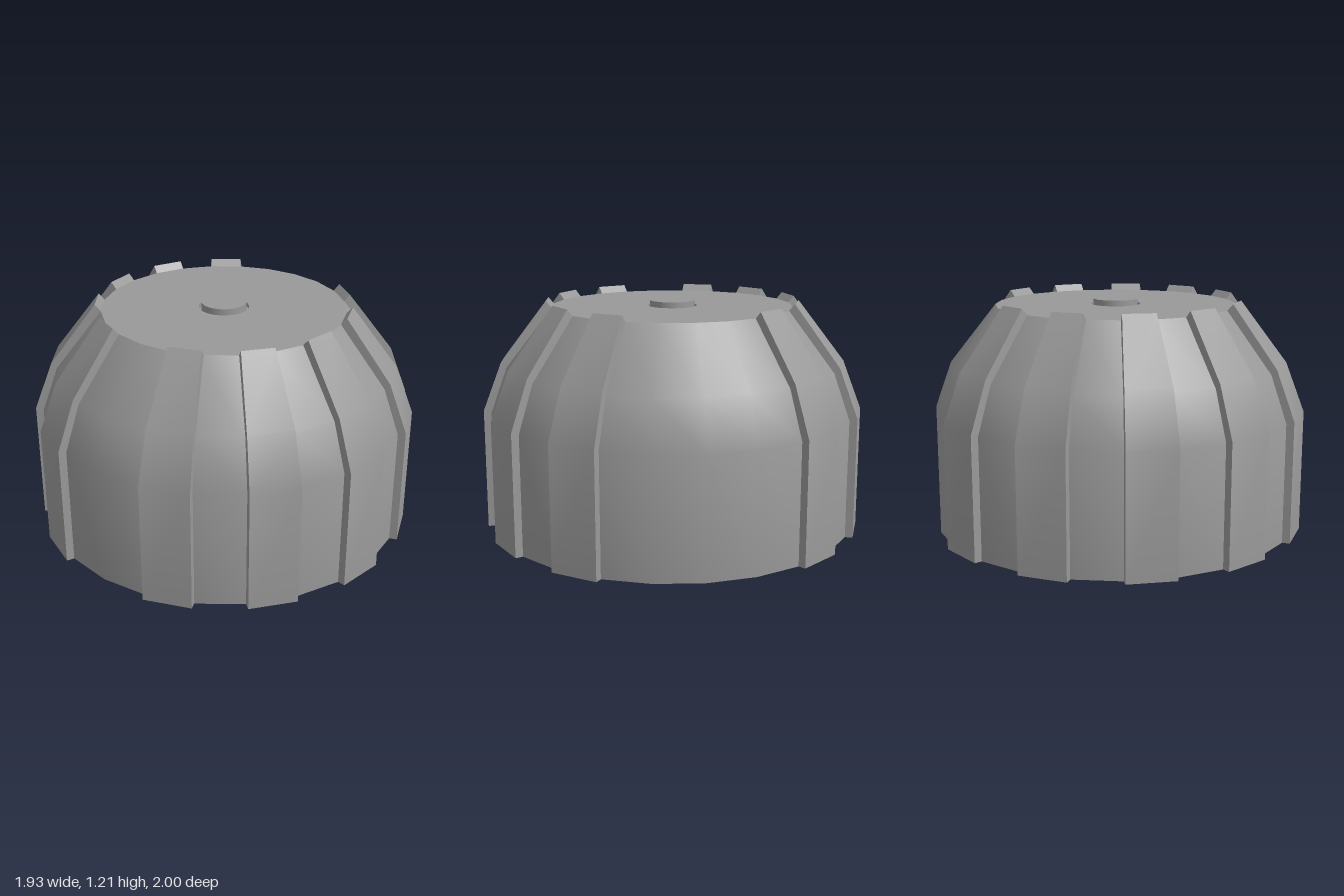
import * as THREE from 'three';
import { toCreasedNormals } from 'three/addons/utils/BufferGeometryUtils.js';

const SEGMENTS = 24;
const STEP = (Math.PI * 2) / SEGMENTS;
const CREASE = THREE.MathUtils.degToRad(32);

// Side profile of the body: [radius, height], and how far a rib stands off it: [out, up]
const PROFILE = [[0.961, 0], [0.961, 0.625], [0.875, 0.865], [0.632, 1.172]];
const STANDOFF = [[0.04, 0], [0.04, 0.012], [0.028, 0.027], [0.03, 0.034]];

// One raised rib covering a single facet, from angle 0 to STEP
function ribGeometry() {
  const positions = [];
  const index = [];
  const quad = (a, b, c, d) => index.push(a, b, c, a, c, d);
  const nx = Math.sin(STEP / 2), nz = Math.cos(STEP / 2);
  PROFILE.forEach(([r, y], i) => {
    const [out, up] = STANDOFF[i];
    const x = r * Math.sin(STEP), z = r * Math.cos(STEP);
    positions.push(
      nx * out, y + up, r + nz * out,
      x + nx * out, y + up, z + nz * out,
      x, y, z,
      0, y, r
    );
  });
  for (let i = 0; i < PROFILE.length - 1; i++) {
    const lo = i * 4, hi = lo + 4;
    // outer face and both flanks; the inner side lies on the body
    for (const k of [0, 1, 3]) {
      const n = (k + 1) % 4;
      quad(lo + k, lo + n, hi + n, hi + k);
    }
  }
  const top = (PROFILE.length - 1) * 4;
  quad(top, top + 1, top + 2, top + 3);
  quad(3, 2, 1, 0);
  const geometry = new THREE.BufferGeometry();
  geometry.setAttribute('position', new THREE.Float32BufferAttribute(positions, 3));
  geometry.setIndex(index);
  return toCreasedNormals(geometry, CREASE);
}

export function createModel() {
  const model = new THREE.Group();
  model.name = 'ribbedKnob';
  const grey = new THREE.MeshStandardMaterial({ color: 0x999999 });
  grey.name = 'grey';

  const add = (name, geometry, parent = model) => {
    const mesh = new THREE.Mesh(geometry, grey);
    mesh.name = name;
    parent.add(mesh);
    return mesh;
  };

  // Faceted dome with a flat top and a narrow groove around the button
  const points = [...PROFILE, [0.13, 1.172], [0.13, 1.15], [0.1, 1.15]]
    .map(([r, y]) => new THREE.Vector2(r, y));
  add('body', toCreasedNormals(new THREE.LatheGeometry(points, SEGMENTS), CREASE));

  // Flat underside
  const underside = new THREE.CircleGeometry(PROFILE[0][0], SEGMENTS);
  underside.rotateX(Math.PI / 2);
  add('underside', underside);

  // Centre button
  const button = add('button', new THREE.CylinderGeometry(0.117, 0.117, 0.05, 32));
  button.position.y = 1.175;

  // Ribs on alternate facets, mirrored front to back, with a smooth gap at each side
  const ribs = new THREE.Group();
  ribs.name = 'ribs';
  model.add(ribs);
  const rib = ribGeometry();
  for (const facet of [-5, -3, -1, 1, 3]) {
    add('frontRib', rib, ribs).rotation.y = facet * STEP;
    add('backRib', rib, ribs).rotation.y = Math.PI - (facet + 1) * STEP;
  }

  return model;
}
